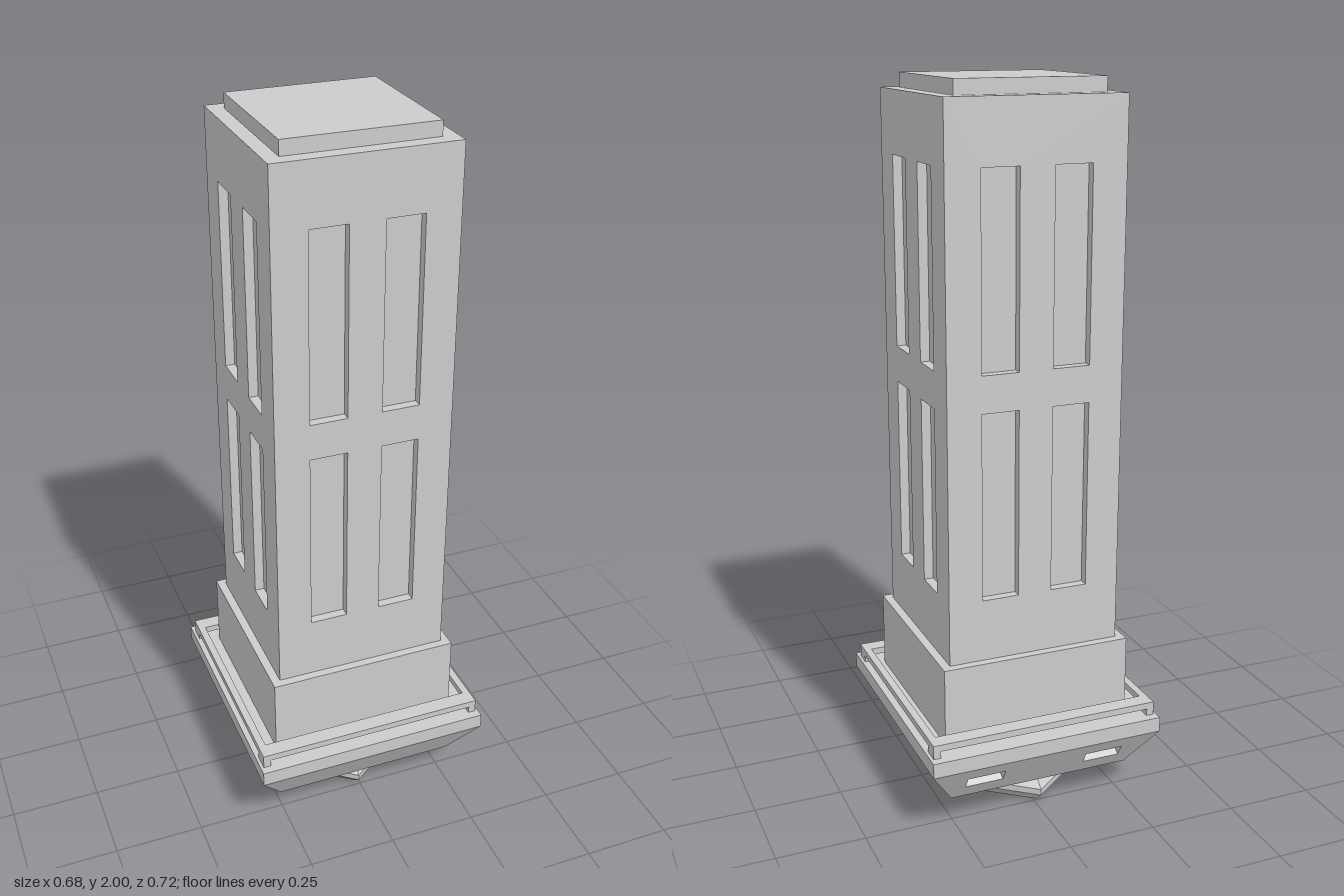
import * as THREE from 'three';

const mat = new THREE.MeshStandardMaterial({ color: 0xcccccc, flatShading: true });

function add(parent, name, geometry) {
  const mesh = new THREE.Mesh(geometry, mat);
  mesh.name = name;
  parent.add(mesh);
  return mesh;
}

// Box given by its lower and upper corners
function block(parent, name, [x0, y0, z0], [x1, y1, z1]) {
  const mesh = add(parent, name, new THREE.BoxGeometry(x1 - x0, y1 - y0, z1 - z0));
  mesh.position.set((x0 + x1) / 2, (y0 + y1) / 2, (z0 + z1) / 2);
  return mesh;
}

// Flat panel (outline corners) with rectangular holes [x0, y0, x1, y1]
function panel(outline, holes, depth) {
  const toPoints = (list) => list.map(([x, y]) => new THREE.Vector2(x, y));
  const shape = new THREE.Shape(toPoints(outline));
  for (const [a, b, c, d] of holes) {
    shape.holes.push(new THREE.Path(toPoints([[a, b], [a, d], [c, d], [c, b]])));
  }
  return new THREE.ExtrudeGeometry(shape, { depth, bevelEnabled: false });
}

function createTower() {
  const tower = new THREE.Group();
  tower.name = 'tower';
  const half = 0.248, depth = 0.026, y0 = 0.47, y1 = 1.96;
  const inner = half - depth;
  block(tower, 'towerCore', [-inner, y0, -inner], [inner, y1, inner]);

  // Four walls with two rows of paired recessed windows
  const windows = [];
  for (const [lo, hi] of [[0.645, 1.165], [1.267, 1.79]]) {
    windows.push([-0.152, lo, -0.048, hi], [0.048, lo, 0.152, hi]);
  }
  for (let i = 0; i < 4; i++) {
    const w = i % 2 ? inner : half;
    const wall = add(tower, 'windowWall', panel([[-w, y0], [w, y0], [w, y1], [-w, y1]], windows, depth));
    wall.rotation.y = i * Math.PI / 2;
    wall.position.set(Math.sin(wall.rotation.y) * inner, 0, Math.cos(wall.rotation.y) * inner);
  }

  block(tower, 'roofCap', [-0.207, y1, -0.207], [0.207, 2, 0.207]);
  block(tower, 'plinth', [-0.272, 0.25, -0.272], [0.272, y0, 0.272]);
  tower.position.set(0.002, 0, -0.002);
  return tower;
}

// Raised rail around the base on four corner posts
function createRailing() {
  const railing = new THREE.Group();
  railing.name = 'railing';
  const X = 0.33, Z = 0.336, xi = 0.309, zi = 0.29;
  for (const s of [-1, 1]) {
    const near = Math.min(s * zi, s * Z), far = Math.max(s * zi, s * Z);
    const left = Math.min(s * xi, s * X), right = Math.max(s * xi, s * X);
    block(railing, 'longRail', [-X, 0.27, near], [X, 0.289, far]);
    block(railing, 'sideRail', [left, 0.27, -zi], [right, 0.289, zi]);
    for (const t of [-1, 1]) {
      block(railing, 'cornerPost',
        [Math.min(t * xi, t * X), 0.25, near], [Math.max(t * xi, t * X), 0.27, far]);
    }
  }
  return railing;
}

function createBase() {
  const base = new THREE.Group();
  base.name = 'base';
  const y0 = 0.09, y1 = 0.207, X = 0.339, Z = 0.36, xb = 0.265, zb = 0.287, depth = 0.02;
  block(base, 'baseSlab', [-X, y1, -Z], [X, 0.25, Z]);

  // Direction up the back slope, and its outward normal
  const up = new THREE.Vector3(0, y1 - y0, zb - Z);
  const length = up.length();
  up.normalize();
  const across = new THREE.Vector3(-1, 0, 0);
  const out = across.clone().cross(up);

  // Tapered underside, its back set in to take the slotted panel
  const taper = new THREE.BoxGeometry(2, 1, 2);
  const p = taper.attributes.position;
  for (let i = 0; i < p.count; i++) {
    const top = p.getY(i) > 0;
    const inset = p.getZ(i) < 0 ? depth / -out.z : 0;
    p.setXYZ(i, p.getX(i) * (top ? X : xb), top ? y1 : y0, p.getZ(i) * (top ? Z : zb) + inset);
  }
  taper.computeVertexNormals();
  add(base, 'taperedUnderside', taper);

  // Back slope with two small slots
  const slots = [-1, 1].map((s) => [s * 0.177 - 0.055, 0.05, s * 0.177 + 0.055, 0.092]);
  const slope = panel([[-xb, 0], [xb, 0], [X, length], [-X, length]], slots, depth);
  slope.applyMatrix4(new THREE.Matrix4().makeBasis(across, up, out));
  const back = add(base, 'slottedBackSlope', slope);
  back.position.set(0, y0, -zb).addScaledVector(out, -depth);
  return base;
}

// Bevelled six-sided ring below the base, longer front to back
function createRing(group) {
  const profile = [
    [0.74, 0], [0.88, 0], [1, 0.03], [1, 0.048], [0.88, 0.073],
    [0.74, 0.073], [0.66, 0.048], [0.66, 0.03], [0.74, 0],
  ].map(([r, y]) => new THREE.Vector2(r, y));
  const ring = add(group, 'bottomRing', new THREE.LatheGeometry(profile, 6));
  ring.scale.set(0.202, 1, 0.272);
  ring.position.set(-0.01, 0, -0.006);
}

export function createModel() {
  const model = new THREE.Group();
  model.name = 'squareTower';
  model.add(createTower(), createRailing(), createBase());
  createRing(model);
  return model;
}
